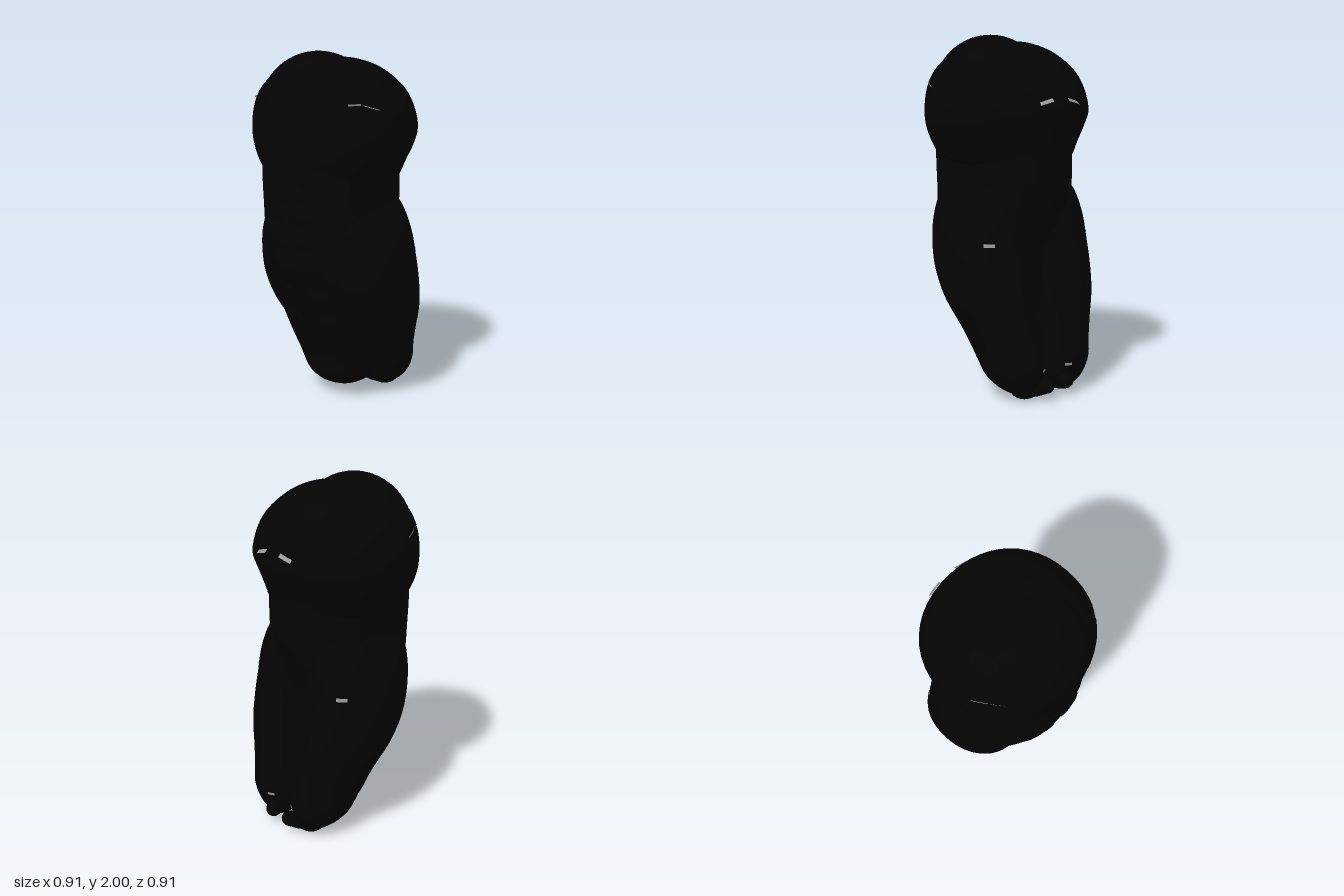
import * as THREE from 'three';

const black = new THREE.MeshStandardMaterial({ name: 'black', color: 0x040404 });
const grey = new THREE.MeshStandardMaterial({ name: 'pale grey', color: 0x9a9a9a, side: THREE.DoubleSide });

// Cross-sections from top to bottom: [y, centre x, half width, front z, back z]
const HEAD = [
  [1.965, 0, 0, 0, 0], [1.95, 0, .16, .15, -.1], [1.9, 0, .28, .3, -.23], [1.8, 0, .385, .41, -.355],
  [1.7, 0, .435, .445, -.41], [1.58, 0, .457, .45, -.434], [1.5, 0, .447, .443, -.405],
  [1.4, 0, .4, .43, -.375], [1.32, 0, .358, .38, -.35], [1.27, 0, .3, .2, -.25], [1.25, 0, 0, 0, 0],
];
const BODY = [
  [1.45, 0, .34, .435, -.36], [1.28, 0, .34, .432, -.36], [1.18, 0, .34, .425, -.358], [1, 0, .345, .4, -.315],
  [.8, 0, .34, .35, -.25], [.6, 0, .34, .275, -.25], [.4, 0, .325, .178, -.25],
  [.25, 0, .265, .13, -.25], [.13, 0, .2, .1, -.23], [.075, 0, .12, .05, -.17], [.06, 0, 0, -.03, -.03],
];
const WING = [
  [1.27, .2, .06, .1, -.1], [1.15, .19, .16, .28, -.28], [1, .212, .208, .3, -.316],
  [.85, .225, .225, .285, -.33], [.7, .228, .229, .25, -.355], [.55, .22, .22, .18, -.38],
  [.4, .195, .195, .085, -.4], [.28, .175, .175, .01, -.42], [.2, .168, .167, -.03, -.43],
  [.12, .16, .145, -.08, -.415], [.05, .145, .09, -.17, -.38], [.02, .14, 0, -.29, -.29],
];

// Smooth surface through the cross-sections; t runs downward, a runs around
function surface(rows, side = 1, power = 2.15) {
  const widths = new THREE.CatmullRomCurve3(rows.map(r => new THREE.Vector3(r[0], r[1], r[2])));
  const depths = new THREE.CatmullRomCurve3(rows.map(r => new THREE.Vector3(r[3], r[4], r[0])));
  const round = v => Math.sign(v) * Math.abs(v) ** (2 / power);
  return (t, a, grow = 0) => {
    const w = widths.getPoint(t), d = depths.getPoint(t);
    return [
      side * w.y + (Math.max(w.z, 0) + grow) * round(Math.cos(a)),
      w.x,
      (d.x + d.y) / 2 + ((d.x - d.y) / 2 + grow) * round(Math.sin(a)),
    ];
  };
}

// Grid over part of a surface; a full turn is welded
function patch(point, t0, t1, a0, a1, rows, cols, grow = 0) {
  const closed = Math.abs(a1 - a0 - Math.PI * 2) < 1e-6;
  const n = closed ? cols : cols + 1;
  const positions = [], index = [];
  for (let i = 0; i <= rows; i++)
    for (let j = 0; j < n; j++)
      positions.push(...point(t0 + (t1 - t0) * i / rows, a0 + (a1 - a0) * j / cols, grow));
  for (let i = 0; i < rows; i++)
    for (let j = 0; j < cols; j++) {
      const k = (j + 1) % n;
      const a = i * n + j, b = a + n, c = i * n + k, d = c + n;
      index.push(a, c, b, c, d, b);
    }
  const geometry = new THREE.BufferGeometry();
  geometry.setAttribute('position', new THREE.Float32BufferAttribute(positions, 3));
  geometry.setIndex(index);
  geometry.computeVertexNormals();
  return geometry;
}

export function createModel() {
  const model = new THREE.Group();
  model.name = 'figure';
  const add = (name, geometry, material = black) => {
    const mesh = new THREE.Mesh(geometry, material);
    mesh.name = name;
    model.add(mesh);
    return mesh;
  };
  const loft = (name, point) => add(name, patch(point, 0, 1, 0, Math.PI * 2, 60, 48));

  // Thin pale slit on a surface: tilt drops it along its length, lip pushes its lower edge out
  const slit = (name, point, t, from, to, half, tilt = 0, lip = 0) => {
    const a0 = THREE.MathUtils.degToRad(from), a1 = THREE.MathUtils.degToRad(to);
    const tilted = (u, a, grow) =>
      point(u + tilt * (a - a0) / (a1 - a0), a, grow + Math.abs(lip) + lip * (u - t) / half);
    add(name, patch(tilted, t - half, t + half, a0, a1, 1, 6, .003), grey);
  };

  // Head with a domed face
  const head = surface(HEAD);
  loft('head', head);
  const face = add('faceDome', new THREE.SphereGeometry(1, 40, 28));
  face.scale.set(.34, .33, .31);
  face.position.set(0, 1.67, .148);

  const body = surface(BODY, 1, 2.4);
  loft('body', body);

  // Soft plumage in rows that spread apart down the chest
  for (let i = 0; i < 7; i++) {
    const t = .06 + i * .082;
    const spread = i === 0 ? [0] : [-1, 1];
    for (const s of spread) {
      const tuft = add('chestTuft', new THREE.SphereGeometry(1, 16, 12));
      tuft.scale.set(.06 + i * .006, .075, .02);
      const [x, y, z] = body(t, Math.PI / 2 - s * (.08 + i * .05), -.011);
      tuft.position.set(x, y, z);
      tuft.rotation.set(.08 + i * .06, s * (.1 + i * .04), s * .25);
    }
  }

  // Folded wings, feet with a toe turned back, and pale slits, mirrored
  for (const side of [1, -1]) {
    const label = side > 0 ? 'left' : 'right';
    const wing = surface(WING, side);
    loft(label + 'Wing', wing);

    const toe = new THREE.CatmullRomCurve3([
      new THREE.Vector3(side * .14, .05, -.28),
      new THREE.Vector3(side * .115, .06, -.35),
      new THREE.Vector3(side * .072, .085, -.411),
    ]);
    add(label + 'Toe', new THREE.TubeGeometry(toe, 12, .044, 14));
    const toeEnd = add(label + 'ToeEnd', new THREE.SphereGeometry(.044, 16, 12));
    toeEnd.position.copy(toe.getPoint(1));
    const foot = add(label + 'Foot', new THREE.SphereGeometry(1, 20, 14));
    foot.scale.set(.075, .05, .08);
    foot.position.set(side * .14, .05, -.3);

    const flip = a => (side > 0 ? a : 180 - a);
    slit(label + 'HeadSlit', head, .36, flip(41), flip(31), .005, 0, -.003);
    slit(label + 'HeadSlitEnd', head, .365, flip(29), flip(17), .002, .025);
    slit(label + 'NapeSlit', head, .443, -90 + side * 6, -90 + side * 16, .007, .016, .006);
    slit(label + 'WingSlit', wing, .255, flip(-60), flip(-46), .006);
    slit(label + 'WingTipSlit', wing, .755, flip(-122), flip(-108), .008);
  }
  return model;
}
